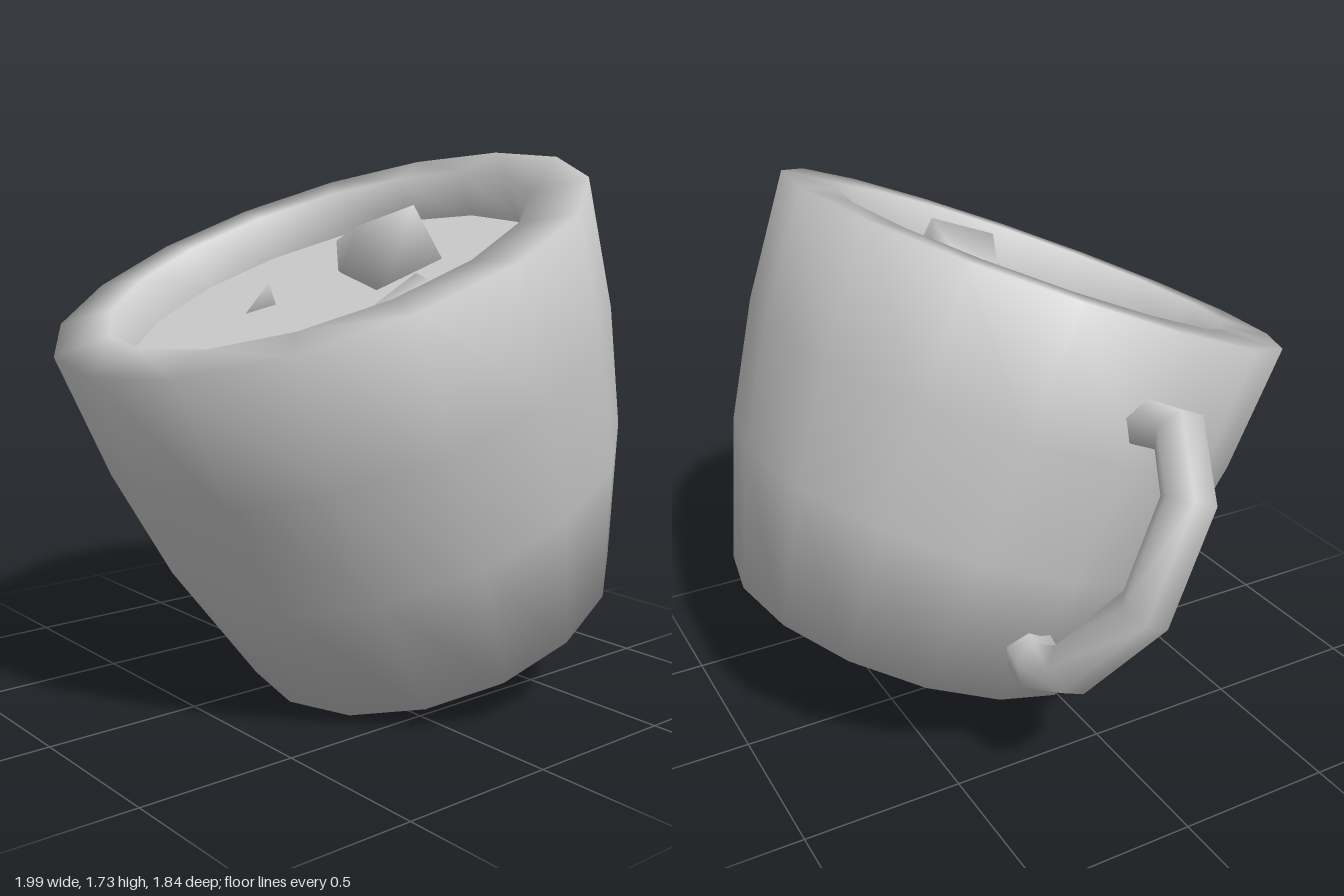
import * as THREE from 'three';
import { mergeVertices } from 'three/addons/utils/BufferGeometryUtils.js';
import { ConvexGeometry } from 'three/addons/geometries/ConvexGeometry.js';

const TILT = 0.389;
const SIDES = 16;

// Polyline path whose samples fall exactly on its corner points
class CornerPath extends THREE.Curve {
  constructor(points) {
    super();
    this.points = points;
  }
  getPoint(t, target = new THREE.Vector3()) {
    const last = this.points.length - 1;
    const f = THREE.MathUtils.clamp(t, 0, 1) * last;
    const i = Math.min(Math.floor(f), last - 1);
    return target.lerpVectors(this.points[i], this.points[i + 1], f - i);
  }
  getPointAt(u, target) { return this.getPoint(u, target); }
  getTangentAt(u, target) { return this.getTangent(u, target); }
}

// Smooth-shaded convex lump; base corners are sunk below the liquid
function iceGeometry(base, top) {
  const sink = new THREE.Vector3(0, -Math.cos(TILT), -Math.sin(TILT)).multiplyScalar(0.03);
  const points = [
    ...base.map((p) => new THREE.Vector3(...p).add(sink)),
    ...top.map((p) => new THREE.Vector3(...p)),
  ];
  const geometry = new ConvexGeometry(points);
  geometry.deleteAttribute('normal');
  const merged = mergeVertices(geometry, 1e-4);
  merged.computeVertexNormals();
  return merged;
}

export function createModel() {
  const model = new THREE.Group();
  model.name = 'mugWithIce';
  const grey = new THREE.MeshStandardMaterial({ color: 0xcccccc });
  grey.name = 'light grey';

  const add = (parent, name, geometry) => {
    const mesh = new THREE.Mesh(geometry, grey);
    mesh.name = name;
    parent.add(mesh);
    return mesh;
  };

  // Mug leaning towards the front
  const mug = new THREE.Group();
  mug.name = 'mug';
  mug.position.set(0.155, 0.24, -0.34);
  mug.rotation.x = TILT;
  model.add(mug);

  // Base, bulging wall, flat thick rim and inner wall
  const profile = [
    [0, 0], [0.628, 0], [0.761, 0.463], [0.82, 0.85],
    [0.843, 1.264], [0.667, 1.264], [0.663, 1.1],
  ].map(([r, h]) => new THREE.Vector2(r, h));
  add(mug, 'cup', new THREE.LatheGeometry(profile, SIDES));

  // Liquid surface
  const liquid = add(mug, 'liquid', new THREE.CircleGeometry(0.664, SIDES));
  liquid.rotation.x = -Math.PI / 2;
  liquid.position.y = 1.112;

  // Angular handle on the right side
  const corners = [
    [-0.75, 0.98], [-0.945, 1.016], [-1.078, 0.87], [-1.078, 0.546],
    [-0.875, 0.245], [-0.745, 0.184], [-0.63, 0.21],
  ].map(([x, h]) => new THREE.Vector3(x, h, 0));
  add(mug, 'handle', new THREE.TubeGeometry(new CornerPath(corners), corners.length - 1, 0.08, 6));

  // Floating ice pieces
  add(model, 'largeIce', iceGeometry(
    [[0.04, 1.42, -0.29], [-0.02, 1.34, -0.09], [0.31, 1.29, 0.02], [0.36, 1.39, -0.21]],
    [[0, 1.47, -0.2], [-0.02, 1.44, -0.09], [0.2, 1.49, 0.01], [0.25, 1.555, -0.18]],
  ));
  add(model, 'mediumIce', iceGeometry(
    [[0.43, 1.215, 0.21], [0.63, 1.205, 0.24], [0.64, 1.28, 0.05], [0.48, 1.29, 0.03]],
    [[0.49, 1.36, 0.03], [0.62, 1.335, 0.07], [0.61, 1.25, 0.2], [0.51, 1.28, 0.2]],
  ));
  add(model, 'smallIce', iceGeometry(
    [[-0.16, 1.26, 0.09], [-0.01, 1.235, 0.16], [-0.11, 1.19, 0.27]],
    [[-0.08, 1.31, 0.14]],
  ));

  return model;
}
